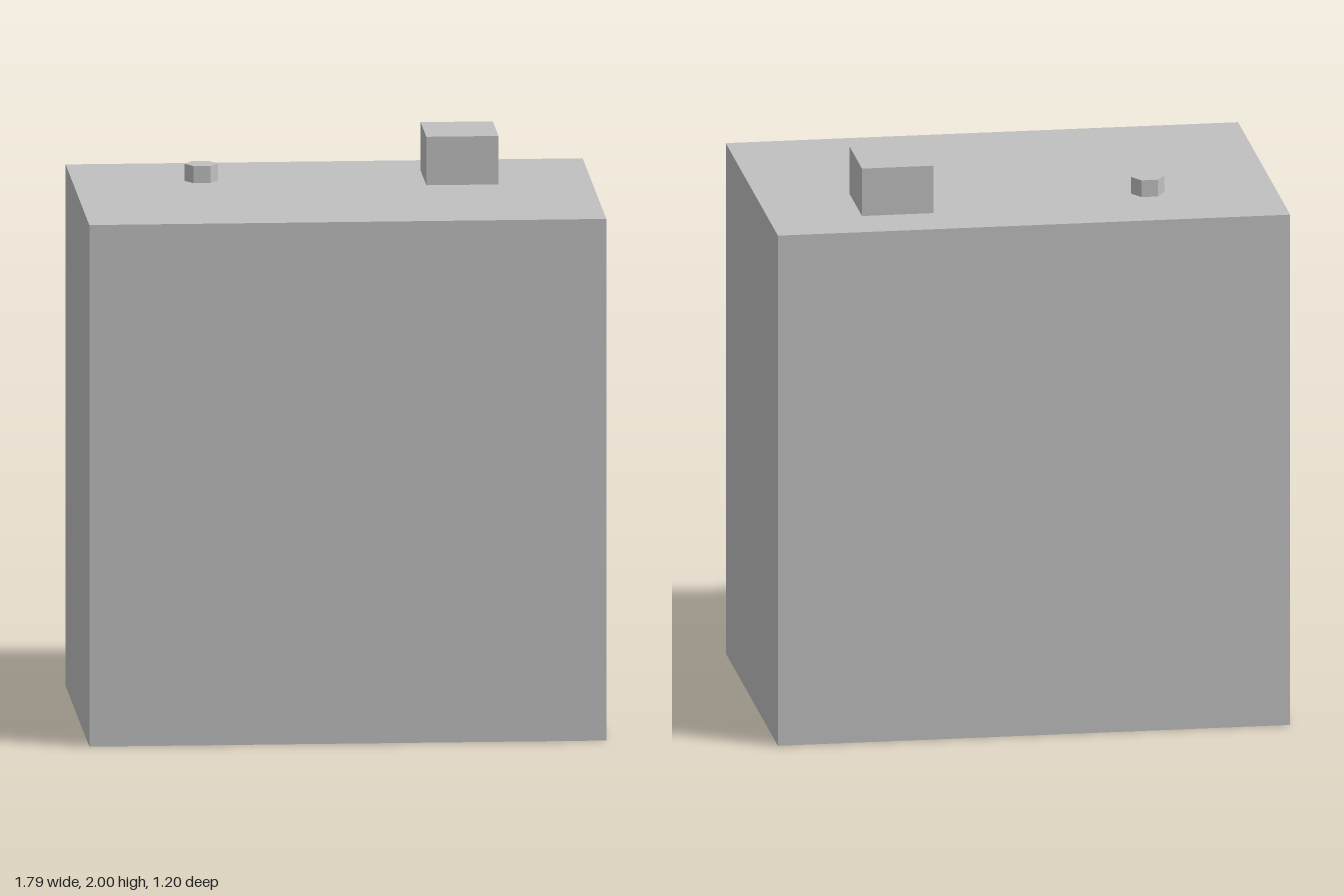
import * as THREE from 'three';

const W = 1.79, H = 1.83, D = 1.2;   // building shell
const AXIS = -0.025;                 // centre line of the facade details

export function createModel() {
  const model = new THREE.Group();
  model.name = 'building';
  const grey = new THREE.MeshStandardMaterial({ color: 0xc0c0c0, side: THREE.DoubleSide });
  grey.name = 'plain grey';

  const add = (name, geometry, x, y, z) => {
    const mesh = new THREE.Mesh(geometry, grey);
    mesh.name = name;
    mesh.position.set(x, y, z);
    model.add(mesh);
    return mesh;
  };

  // Thin walls and flat roof, open at the bottom
  for (const s of [-1, 1]) {
    add(s > 0 ? 'frontWall' : 'backWall', new THREE.PlaneGeometry(W, H), 0, H / 2, s * D / 2)
      .rotation.y = s > 0 ? 0 : Math.PI;
    add(s > 0 ? 'leftWall' : 'rightWall', new THREE.PlaneGeometry(D, H), s * W / 2, H / 2, 0)
      .rotation.y = s * Math.PI / 2;
  }
  add('roof', new THREE.PlaneGeometry(W, D), 0, H, 0).rotation.x = -Math.PI / 2;

  // Rooftop block and hexagonal vent
  add('roofBlock', new THREE.BoxGeometry(0.25, 0.17, 0.29), 0.445, H + 0.085, -0.25);
  const vent = new THREE.CylinderGeometry(0.058, 0.058, 0.06, 6).toNonIndexed();
  vent.computeVertexNormals();
  add('roofVent', vent, -0.45, H + 0.03, -0.25).rotation.y = Math.PI / 6;

  // Details standing on the inner face of the front wall
  const relief = (name, x, y, w, h, d) =>
    add(name, new THREE.BoxGeometry(w, h, d), x, y + h / 2, D / 2 - d / 2 - 0.001);
  relief('door', -0.012, 0.24, 0.18, 0.25, 0.057);
  relief('stairWindow', AXIS, 0.65, 0.09, 0.24, 0.03);
  for (const s of [-1, 1]) {
    relief('balcony', AXIS + s * 0.435, 0.63, 0.68, 0.16, 0.09);
    for (const offset of [0.385, 0.665])
      relief('window', AXIS + s * offset, 0.355, 0.155, 0.14, 0.03);
  }

  return model;
}
